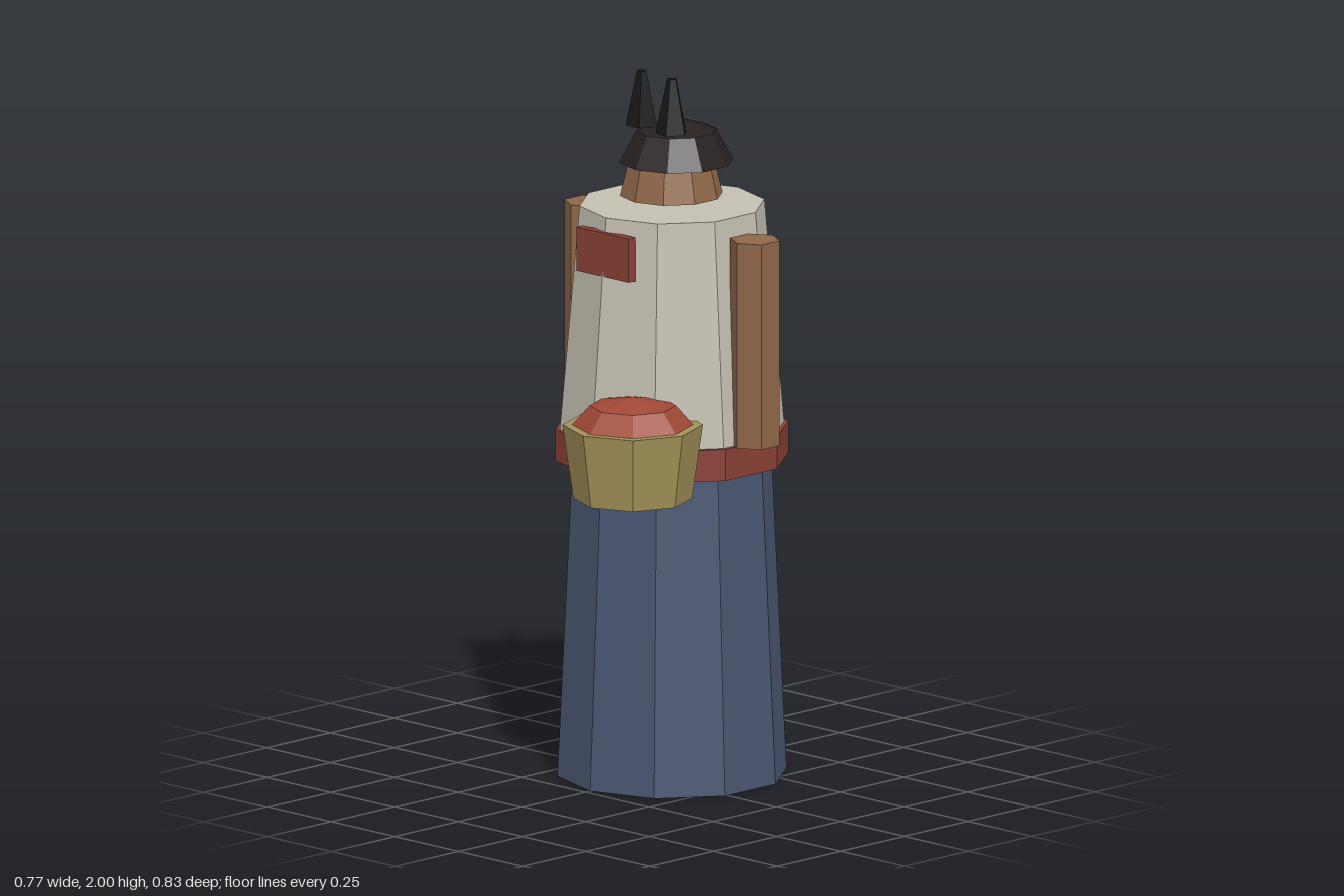
import * as THREE from 'three';

const BODY_Z = -0.09;

function material(color, side = THREE.FrontSide) {
  return new THREE.MeshStandardMaterial({ color, flatShading: true, side });
}

export function createModel() {
  const group = new THREE.Group();
  const wood = material(0x8f6748);
  const red = material(0x8a4036);
  const dark = material(0x191817);

  function add(name, geometry, mat, x, y, z) {
    const mesh = new THREE.Mesh(geometry, mat);
    mesh.name = name;
    mesh.position.set(x, y, z);
    group.add(mesh);
    return mesh;
  }

  // Tapered prism standing between two heights
  function prism(name, rTop, rBottom, y0, y1, sides, mat, x, z, open = false) {
    const geometry = new THREE.CylinderGeometry(rTop, rBottom, y1 - y0, sides, 1, open);
    return add(name, geometry, mat, x, (y0 + y1) / 2, z);
  }

  // Faceted two-ring dome
  function dome(name, radius, height, sides, mat, x, y, z) {
    const points = [[1, 0], [0.707, 0.707], [0, 1]]
      .map(([r, h]) => new THREE.Vector2(r * radius, h * height));
    return add(name, new THREE.LatheGeometry(points, sides), mat, x, y, z);
  }

  // Body: hollow skirt, belt and torso
  prism('skirt', 0.278, 0.322, 0, 0.94, 10, material(0x4a5671, THREE.DoubleSide), 0, BODY_Z, true);
  prism('belt', 0.327, 0.327, 0.9, 0.99, 10, red, 0, BODY_Z);
  prism('torso', 0.26, 0.315, 0.99, 1.625, 10, material(0xc4bfb2), 0, BODY_Z);
  add('chestPatch', new THREE.BoxGeometry(0.205, 0.125, 0.026), red, 0, 1.522, 0.17);

  // Head floats just above the torso, capped by hair
  prism('head', 0.12, 0.144, 1.65, 1.75, 10, wood, 0, -0.087);
  dome('hair', 0.16, 0.125, 10, material(0x272120, THREE.DoubleSide), 0, 1.742, -0.106);

  // Arms and hair spikes on both sides
  for (const side of [-1, 1]) {
    const prefix = side > 0 ? 'left' : 'right';
    prism(prefix + 'Arm', 0.071, 0.071, 0.99, 1.575, 6, wood, side * 0.325, BODY_Z);
    const spike = prism(prefix + 'HairSpike', 0.014, 0.046, 1.845, 2, 5, dark,
      side * 0.065, side > 0 ? -0.025 : -0.037);
    spike.rotation.y = side > 0 ? 0.4 : Math.PI;
  }

  // Basket with a heap inside
  prism('basket', 0.195, 0.165, 0.86, 1.07, 8, material(0xa39258), 0.155, 0.22);
  dome('basketHeap', 0.17, 0.08, 8, material(0xa04835), 0.155, 1.068, 0.22);

  return group;
}
